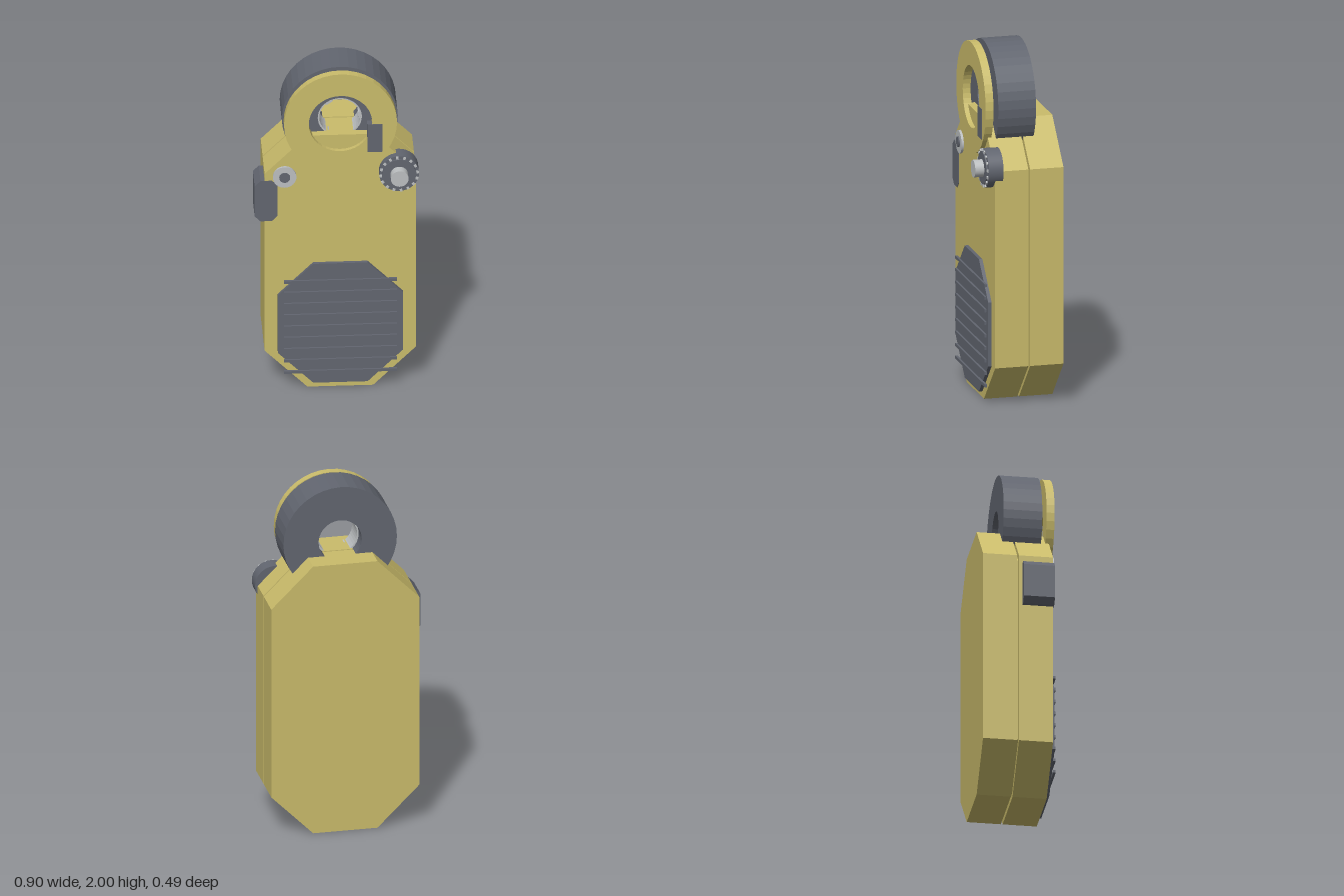
import * as THREE from 'three';

const mat = (name, color) => {
  const m = new THREE.MeshStandardMaterial({ color });
  m.name = name;
  return m;
};

export function createModel() {
  const yellow = mat('mustard yellow', 0xcabc6b);
  const dark = mat('slate grey', 0x626670);
  const light = mat('light grey', 0xbcbfc1);
  const model = new THREE.Group();
  const CX = 0.0175, RING_Y = 1.68;

  const add = (name, geometry, material, x = 0, y = 0, z = 0, parent = model) => {
    const mesh = new THREE.Mesh(geometry, material);
    mesh.name = name;
    mesh.position.set(x, y, z);
    parent.add(mesh);
    return mesh;
  };
  const extrude = (shape, depth) =>
    new THREE.ExtrudeGeometry(shape, { depth, bevelEnabled: false, curveSegments: 20 });

  // Rectangle with cut corners, centred on the origin
  const octagon = (w, h, c) => {
    const a = w / 2, b = h / 2;
    return new THREE.Shape([
      [-a + c, -b], [a - c, -b], [a, -b + c], [a, b - c],
      [a - c, b], [-a + c, b], [-a, b - c], [-a, -b + c],
    ].map(([x, y]) => new THREE.Vector2(x, y)));
  };
  const annulus = (outer, inner) => {
    const shape = new THREE.Shape().absarc(0, 0, outer, 0, Math.PI * 2, false);
    shape.holes.push(new THREE.Path().absarc(0, 0, inner, 0, Math.PI * 2, true));
    return shape;
  };
  const disc = (r, depth) => new THREE.CylinderGeometry(r, r, depth, 32).rotateX(Math.PI / 2);

  // Two body shells with a recessed seam between them
  const BODY_Y = 0.7975;
  add('backShell', extrude(octagon(0.835, 1.595, 0.236), 0.19), yellow, CX, BODY_Y, -0.245);
  add('frontShell', extrude(octagon(0.835, 1.595, 0.236), 0.19), yellow, CX, BODY_Y, -0.045);
  add('seam', extrude(octagon(0.775, 1.535, 0.224), 0.03), yellow, CX, BODY_Y, -0.065);

  // Thick wheel, its bushing and the front ring
  add('wheel', extrude(annulus(0.32, 0.122), 0.215), dark, CX, RING_Y, -0.115);
  add('bushing', extrude(annulus(0.122, 0.113), 0.13), light, CX, RING_Y, -0.035);
  for (let i = 0; i < 3; i++) {
    const a = 2.15 + i * Math.PI * 2 / 3;
    const key = add('bushingKey', new THREE.BoxGeometry(0.02, 0.04, 0.04), light,
      CX + Math.cos(a) * 0.112, RING_Y + Math.sin(a) * 0.112, 0.07);
    key.rotation.z = a;
  }
  add('frontRing', extrude(annulus(0.312, 0.175), 0.045), yellow, CX, RING_Y, 0.125);
  add('ringTab', new THREE.BoxGeometry(0.085, 0.175, 0.047), dark, 0.2075, 1.5825, 0.149);

  // Toothed knob
  const knob = new THREE.Group();
  knob.name = 'knob';
  knob.position.set(0.34, 1.36, 0);
  model.add(knob);
  add('knobBody', disc(0.11, 0.085), dark, 0, 0, 0.1425, knob);
  add('knobFace', disc(0.092, 0.012), dark, 0, 0, 0.188, knob);
  add('knobShaft', disc(0.049, 0.07), light, 0, 0, 0.21, knob);
  for (let i = 0; i < 16; i++) {
    const a = i * Math.PI / 8 + 0.1;
    const tooth = add('knobTooth', new THREE.BoxGeometry(0.014, 0.014, 0.036), light,
      Math.cos(a) * 0.102, Math.sin(a) * 0.102, 0.175, knob);
    tooth.rotation.z = a;
  }

  // Round fastener on the front face
  add('washer', disc(0.065, 0.022), light, -0.29, 1.34, 0.147);
  add('washerCentre', disc(0.03, 0.02), dark, -0.29, 1.34, 0.155);

  // Side button
  add('sideButton', extrude(octagon(0.127, 0.255, 0.032), 0.173), dark, -0.3915, 1.1875, -0.025);

  // Ribbed grip pad
  add('gripPad', extrude(octagon(0.69, 0.755, 0.195), 0.025), dark, CX, 0.4125, 0.14);
  for (let i = 0; i < 9; i++) {
    add('gripRib', new THREE.BoxGeometry(0.623, 0.016, 0.014), dark, CX, 0.11 + i * 0.0715, 0.169);
  }

  return model;
}
